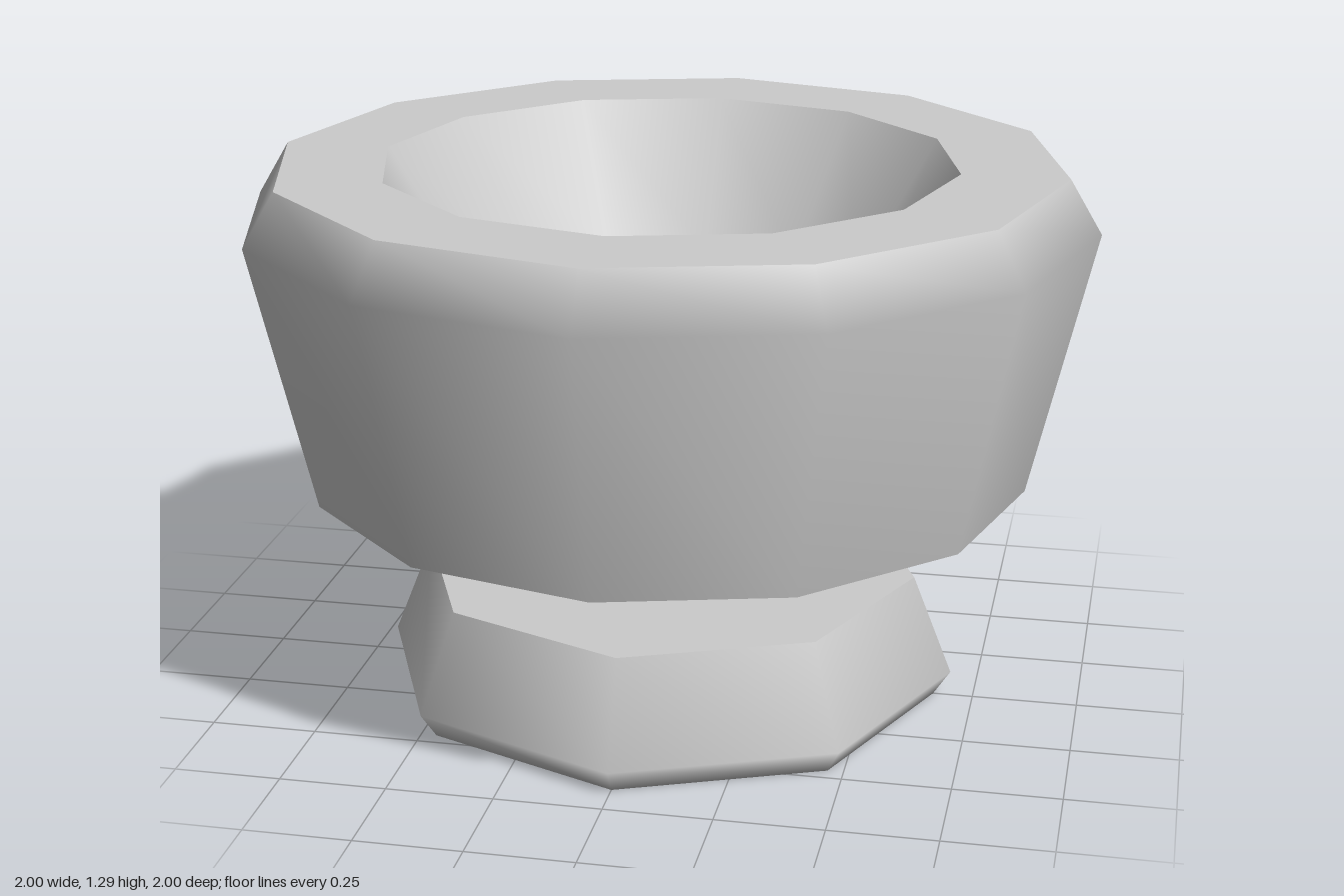
import * as THREE from 'three';
import { mergeGeometries } from 'three/addons/utils/BufferGeometryUtils.js';

const material = new THREE.MeshStandardMaterial({ color: 0xcccccc });

// Turned part: each band is a smooth [radius, height] profile; edges between bands stay sharp.
function turnedPart(name, sides, bands) {
  const lathes = bands.map((band) =>
    new THREE.LatheGeometry(band.map(([r, y]) => new THREE.Vector2(r, y)), sides));
  const mesh = new THREE.Mesh(mergeGeometries(lathes), material);
  mesh.name = name;
  return mesh;
}

export function createModel() {
  const group = new THREE.Group();
  group.name = 'pedestalBowl';

  // Eight-sided foot, its underside blending into the lower bevel
  group.add(turnedPart('foot', 8, [
    [[0, 0], [0.655, 0], [0.695, 0.06], [0.6, 0.3]],
    [[0.6, 0.3], [0, 0.3]],
  ]));

  // Stem flaring up to the bowl
  group.add(turnedPart('stem', 8, [
    [[0.213, 0.3], [0.257, 0.54]],
  ]));

  // Twelve-sided bowl: underside, outer wall with bevel, rim, inner wall, floor
  group.add(turnedPart('bowl', 12, [
    [[0, 0.54], [0.853, 0.54]],
    [[0.853, 0.54], [1, 1.17], [0.925, 1.295]],
    [[0.925, 1.295], [0.677, 1.295]],
    [[0.677, 1.295], [0.468, 0.96]],
    [[0.468, 0.96], [0, 0.96]],
  ]));

  return group;
}
